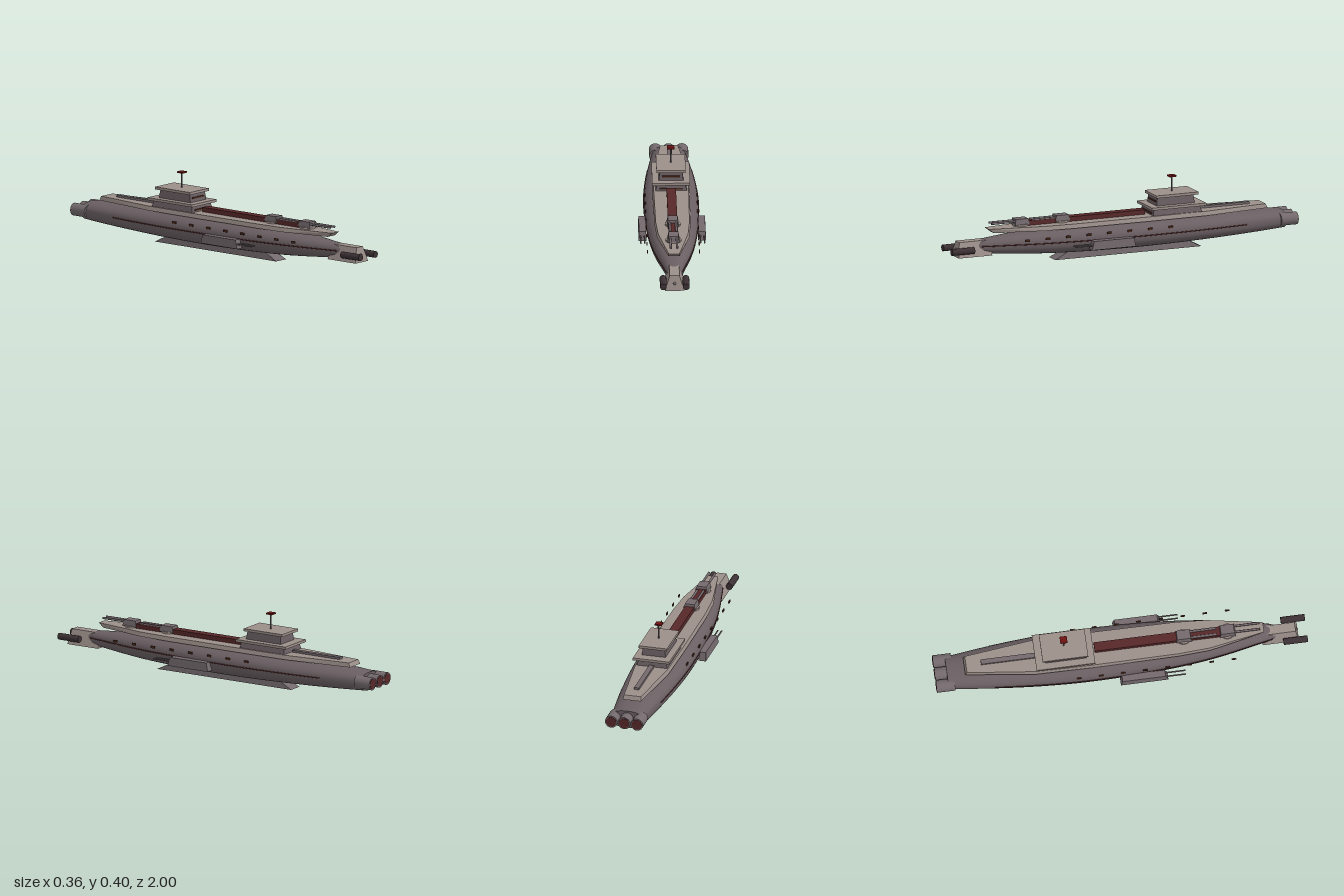
import * as THREE from 'three';
import { ConvexGeometry } from 'three/addons/geometries/ConvexGeometry.js';

const mat = (color) => new THREE.MeshStandardMaterial({ color });

export function createModel() {
  const model = new THREE.Group();
  const hullMat = mat(0x6a5f63), deckMat = mat(0x9c8f8a), gunMat = mat(0x746a6d);
  const darkMat = mat(0x3c3134), redMat = mat(0x572829), brownMat = mat(0x4d2b1c), capMat = mat(0x6e1212);

  const add = (name, geo, material, x = 0, y = 0, z = 0) => {
    const mesh = new THREE.Mesh(geo, material);
    mesh.name = name;
    mesh.position.set(x, y, z);
    model.add(mesh);
    return mesh;
  };
  const box = (name, m, w, h, d, x, y, z) => add(name, new THREE.BoxGeometry(w, h, d), m, x, y, z);
  // Cylinder lying along z between two z values
  const rod = (name, m, r, z0, z1, x, y, sides = 20) =>
    add(name, new THREE.CylinderGeometry(r, r, z1 - z0, sides).rotateX(Math.PI / 2), m, x, y, (z0 + z1) / 2);
  // Tapered solid between two flat outlines given as [x, z] half-outlines
  const taper = (name, m, low, high, y0, y1, x = 0) => {
    const pts = [];
    for (const [outline, y] of [[low, y0], [high, y1]])
      for (const [px, pz] of outline) for (const s of [-1, 1]) pts.push(new THREE.Vector3(s * px, y, pz));
    return add(name, new ConvexGeometry(pts), m, x);
  };

  // Hull: [z, half width, half height] stations, smoothed and lofted
  const stations = [
    [-0.935, 0.088, 0.049], [-0.75, 0.111, 0.058], [-0.5, 0.134, 0.067], [-0.25, 0.146, 0.073], [0, 0.144, 0.075],
    [0.25, 0.132, 0.072], [0.45, 0.111, 0.065], [0.6, 0.086, 0.055], [0.72, 0.061, 0.045], [0.8, 0.045, 0.037], [0.83, 0.036, 0.03],
  ];
  const spine = new THREE.CatmullRomCurve3(stations.map(([z, w, h]) => new THREE.Vector3(w, h, z)));
  const rows = 40, sides = 36, midY = 0.107;
  const pos = [], idx = [];
  const power = (v) => Math.sign(v) * Math.abs(v) ** 0.8;
  for (let i = 0; i <= rows; i++) {
    const p = spine.getPoint(i / rows);
    for (let j = 0; j < sides; j++) {
      const a = (j / sides) * Math.PI * 2;
      pos.push(p.x * power(Math.cos(a)), midY + p.y * power(Math.sin(a)), p.z);
      if (i < rows) {
        const b = i * sides + j, c = i * sides + (j + 1) % sides;
        idx.push(b, c, b + sides, c, c + sides, b + sides);
      }
    }
  }
  // End caps use their own vertices so the rims stay crisp
  for (const row of [0, rows]) {
    const start = pos.length / 3;
    pos.push(...pos.slice(row * sides * 3, (row + 1) * sides * 3));
    for (let j = 1; j < sides - 1; j++)
      idx.push(start, start + (row ? j : j + 1), start + (row ? j + 1 : j));
  }
  const hull = new THREE.BufferGeometry();
  hull.setAttribute('position', new THREE.Float32BufferAttribute(pos, 3));
  hull.setIndex(idx);
  hull.computeVertexNormals();
  add('hull', hull, hullMat);

  // Deck and keel
  taper('deck', deckMat,
    [[0.05, -0.84], [0.097, -0.46], [0.1, -0.15], [0.096, 0.3], [0.086, 0.47], [0.03, 0.74]],
    [[0.047, -0.83], [0.09, -0.46], [0.093, -0.15], [0.09, 0.3], [0.08, 0.47], [0.028, 0.77]], 0.177, 0.2);
  taper('keel', gunMat, [[0.041, -0.46], [0.041, 0.39]], [[0.034, -0.37], [0.034, 0.3]], 0, 0.045);

  // Bow block with its sensor
  taper('bowBlock', deckMat, [[0.052, 0.76], [0.052, 0.955]], [[0.026, 0.76], [0.026, 0.94]], 0.062, 0.143);
  add('bowSensor', new THREE.SphereGeometry(0.008, 16, 10), gunMat, 0, 0.101, 0.948);

  // Stepped bridge
  const tier = (name, m, low, high, z0, z1, inset, y0, y1) =>
    taper(name, m, [[low, z0], [low, z1]], [[high, z0 + inset], [high, z1 - inset]], y0, y1);
  tier('lowerBridge', hullMat, 0.085, 0.075, -0.445, -0.16, 0.01, 0.195, 0.236);
  box('lowerBridgeRoof', deckMat, 0.202, 0.014, 0.315, 0, 0.241, -0.305);
  tier('upperBridge', hullMat, 0.066, 0.06, -0.41, -0.19, 0.006, 0.247, 0.294);
  box('upperBridgeRoof', deckMat, 0.156, 0.014, 0.245, 0, 0.3, -0.305);
  box('lowerBridgeWindow', brownMat, 0.124, 0.008, 0.008, 0, 0.211, -0.163);
  box('upperBridgeWindow', brownMat, 0.096, 0.008, 0.008, 0, 0.27, -0.192);
  add('mast', new THREE.CylinderGeometry(0.004, 0.004, 0.085, 12), gunMat, 0, 0.348, -0.305);
  box('mastHead', capMat, 0.038, 0.008, 0.038, 0, 0.391, -0.305);

  // Deck spine, aft and forward
  box('aftSpine', gunMat, 0.027, 0.016, 0.3, 0, 0.204, -0.6);
  box('forwardSpine', redMat, 0.05, 0.028, 0.68, 0, 0.211, 0.2);

  // Deck turrets
  for (const z of [0.34, 0.575]) {
    add('turretBase', new THREE.CylinderGeometry(0.042, 0.042, 0.012, 20), deckMat, 0, 0.204, z);
    taper('turret', gunMat, [[0.032, z - 0.042], [0.032, z + 0.042]], [[0.026, z - 0.036], [0.026, z + 0.036]], 0.206, 0.239);
    for (const s of [-1, 1]) rod('turretBarrel', gunMat, 0.006, z, z + 0.175, s * 0.017, 0.226, 12);
  }

  // Parts mirrored on both flanks
  for (const s of [-1, 1]) {
    rod('torpedoTube', darkMat, 0.018, 0.87, 1, s * 0.061, 0.101);
    taper('sideSponson', gunMat, [[0.021, -0.02], [0.021, 0.235]], [[0.018, -0.01], [0.018, 0.22]], 0.068, 0.115, s * 0.159);
    for (const x of [0.149, 0.17]) rod('sponsonBarrel', gunMat, 0.004, 0.2, 0.33, s * x, 0.092, 10);
    for (let i = 0; i < 8; i++) box('porthole', brownMat, 0.006, 0.012, 0.024, s * 0.139, 0.145, 0.593 - i * 0.119);
    const line = [];
    for (let i = 5; i <= 38; i++) {
      const p = spine.getPoint(i / rows);
      line.push(new THREE.Vector3(s * p.x, 0.112, p.z));
    }
    add('hullStripe', new THREE.TubeGeometry(new THREE.CatmullRomCurve3(line), 60, 0.003, 6), redMat);
  }

  // Three stern engines with glowing ends
  for (const x of [-0.071, 0, 0.071]) {
    rod('engine', gunMat, 0.034, -0.998, -0.9, x, 0.112, 24);
    rod('engineNozzle', redMat, 0.028, -1, -0.99, x, 0.112, 24);
  }
  return model;
}
